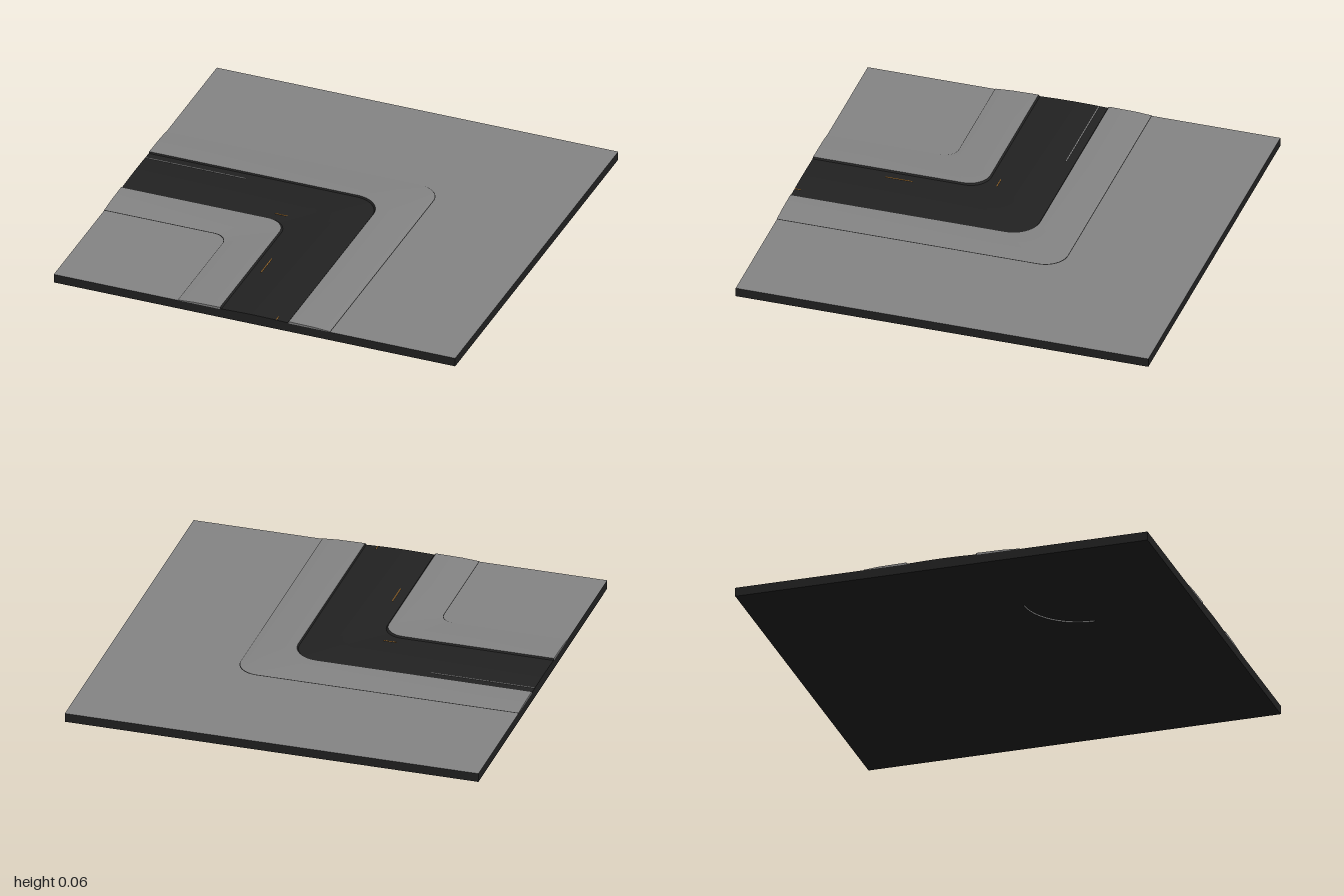
import * as THREE from 'three';

const mat = (name, color, side = THREE.FrontSide) => {
  const m = new THREE.MeshStandardMaterial({ color, side });
  m.name = name;
  return m;
};

// Rounded L-shaped rail: in from x = -1, round the corner (d, -d), out at z = 1
function rail([d, r, y]) {
  const pts = [[-1, y, -d]];
  for (let i = 0; i <= 12; i++) {
    const a = -Math.PI / 2 + (i / 12) * Math.PI / 2;
    pts.push([d - r + r * Math.cos(a), y, -d + r + r * Math.sin(a)]);
  }
  pts.push([d, y, 1]);
  return pts;
}

// Surface through point rows of equal length
function skin(rows) {
  const n = rows[0].length, index = [];
  for (let j = 0; j < rows.length - 1; j++) {
    for (let i = 0; i < n - 1; i++) {
      const a = j * n + i, b = a + n;
      index.push(a, a + 1, b, a + 1, b + 1, b);
    }
  }
  const g = new THREE.BufferGeometry();
  g.setAttribute('position', new THREE.Float32BufferAttribute(rows.flat(2), 3));
  g.setIndex(index);
  g.computeVertexNormals();
  return g;
}

export function createModel() {
  const group = new THREE.Group();
  const concrete = mat('concrete', 0x858585, THREE.DoubleSide);
  const asphalt = mat('asphalt', 0x222222, THREE.DoubleSide);
  const paintWhite = mat('pale paint', 0x9a9a9a);
  const paintOrange = mat('orange paint', 0xa8702a);

  const add = (name, geo, material) => {
    const m = new THREE.Mesh(geo, material);
    m.name = name;
    group.add(m);
    return m;
  };

  // Swept strip from a profile of [offset, corner radius, height], with closed ends
  const strip = (name, profile, material, caps = true) => {
    const rows = profile.map(rail);
    add(name, skin(rows), material);
    if (!caps) return;
    for (const end of [0, rows[0].length - 1]) {
      const top = rows.map((r) => r[end]);
      const low = top.map(([x, , z]) => [x, 0.05, z]);
      add(name + 'End', skin(end === 0 ? [top, low] : [low, top]), material);
    }
  };

  // Ground slab: pale top, dark sides and underside
  const slab = add('groundSlab', new THREE.BoxGeometry(2, 0.043, 2),
    [asphalt, asphalt, concrete, asphalt, asphalt, asphalt]);
  slab.position.y = 0.0285;

  // Crowned road
  strip('road', [[-0.165, 0.1, 0.053], [-0.08, 0.11, 0.0555], [0, 0.115, 0.0565],
    [0.08, 0.12, 0.0555], [0.165, 0.13, 0.053]], asphalt);

  // Kerb faces
  strip('innerKerb', [[-0.172, 0.1, 0.06], [-0.165, 0.1, 0.053]], asphalt);
  strip('outerKerb', [[0.165, 0.13, 0.053], [0.17, 0.13, 0.06]], asphalt);

  // Pavements falling away from the kerbs
  strip('innerPavement', [[-0.38, 0.07, 0.0525], [-0.3, 0.08, 0.058], [-0.172, 0.1, 0.06]], concrete);
  strip('outerPavement', [[0.17, 0.13, 0.06], [0.3, 0.12, 0.058], [0.375, 0.11, 0.0525]], concrete);

  // Thin seams where the pavements meet the ground
  strip('innerSeam', [[-0.383, 0.07, 0.0505], [-0.38, 0.07, 0.0525]], asphalt, false);
  strip('outerSeam', [[0.375, 0.11, 0.0525], [0.378, 0.11, 0.0505]], asphalt, false);

  // Worn traces of lane paint
  const paint = (name, w, d, x, z, material) =>
    add(name, new THREE.BoxGeometry(w, 0.002, d), material).position.set(x, 0.0551, z);
  paint('edgeLine', 0.5, 0.004, -0.75, -0.122, paintWhite);
  paint('laneTrace', 0.004, 0.13, -0.117, 0.565, paintOrange);
  paint('laneTraceEnd', 0.004, 0.03, 0.108, 0.984, paintOrange);
  paint('laneTraceBend', 0.06, 0.004, -0.225, 0.117, paintOrange);

  // Small curved rib under the slab
  const arc = (y) => Array.from({ length: 13 }, (_, i) => {
    const a = -Math.PI / 2 + (i / 12) * Math.PI / 2;
    return [-0.5 + 0.26 * Math.cos(a), y, 0.5 + 0.26 * Math.sin(a)];
  });
  add('undersideRib', skin([arc(0), arc(0.01)]), concrete);

  return group;
}
